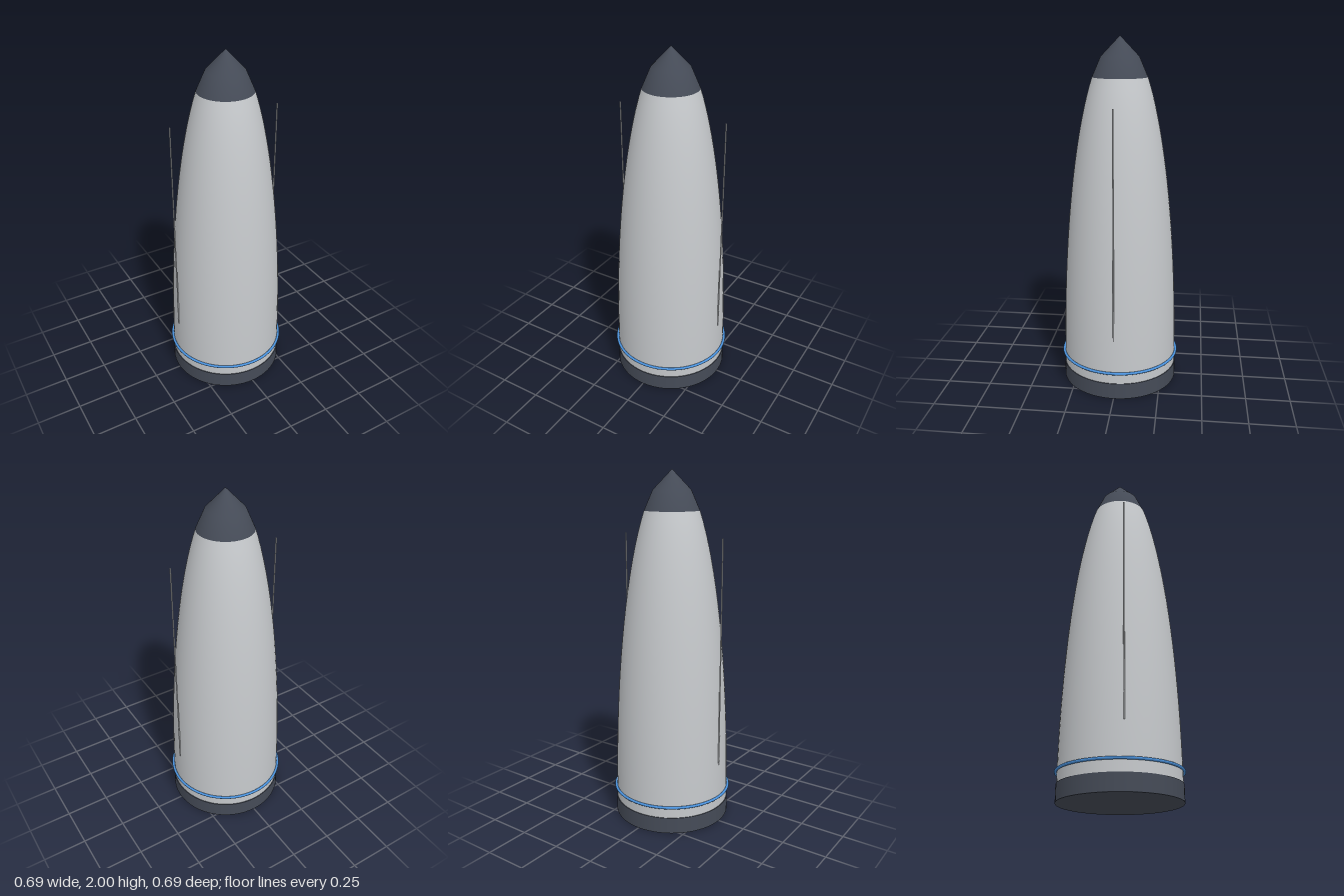
import * as THREE from 'three';

const SEGMENTS = 64;
const BASE_Y = 0.09;
const SEAM_Y = 1.78;

// Elliptical ogive: widest at the base, closing at the tip
function hullRadius(y) {
  const t = (y - BASE_Y) / (2 - BASE_Y);
  return 0.331 * Math.sqrt(Math.max(0, 1 - t * t));
}

export function createModel() {
  const group = new THREE.Group();
  const material = (name, color) => {
    const m = new THREE.MeshStandardMaterial({ color });
    m.name = name;
    return m;
  };
  const hullGrey = material('hull grey', 0xc6c9cc);
  const darkSlate = material('dark slate', 0x454b57);
  const bandBlue = material('band blue', 0x4a90d9);
  const rodSilver = material('rod silver', 0xd4d7da);

  const add = (name, geometry, mat, x = 0, y = 0) => {
    const mesh = new THREE.Mesh(geometry, mat);
    mesh.name = name;
    mesh.position.set(x, y, 0);
    group.add(mesh);
    return mesh;
  };

  // Curved hull
  const profile = [];
  const steps = 32;
  for (let i = 0; i <= steps; i++) {
    const y = BASE_Y + (SEAM_Y - BASE_Y) * (i / steps);
    profile.push(new THREE.Vector2(hullRadius(y), y));
  }
  add('hull', new THREE.LatheGeometry(profile, SEGMENTS), hullGrey);

  // Nose tip, in two conical steps
  const noseProfile = [
    new THREE.Vector2(hullRadius(SEAM_Y), SEAM_Y),
    new THREE.Vector2(0.106, 1.89),
    new THREE.Vector2(0, 2),
  ];
  add('noseTip', new THREE.LatheGeometry(noseProfile, SEGMENTS), darkSlate);

  // Base collar
  add('baseCollar', new THREE.CylinderGeometry(0.335, 0.335, 0.094, SEGMENTS), darkSlate, 0, 0.047);

  // Painted ring around the lower hull
  const ring = add('lowerRing', new THREE.TorusGeometry(0.338, 0.008, 12, SEGMENTS), bandBlue, 0, 0.16);
  ring.rotation.x = Math.PI / 2;

  // Thin upright rods on both sides
  for (const side of [-1, 1]) {
    add(side > 0 ? 'leftRod' : 'rightRod',
      new THREE.CylinderGeometry(0.004, 0.004, 1.29, 8), rodSilver, side * 0.327, 1.0);
  }

  return group;
}
